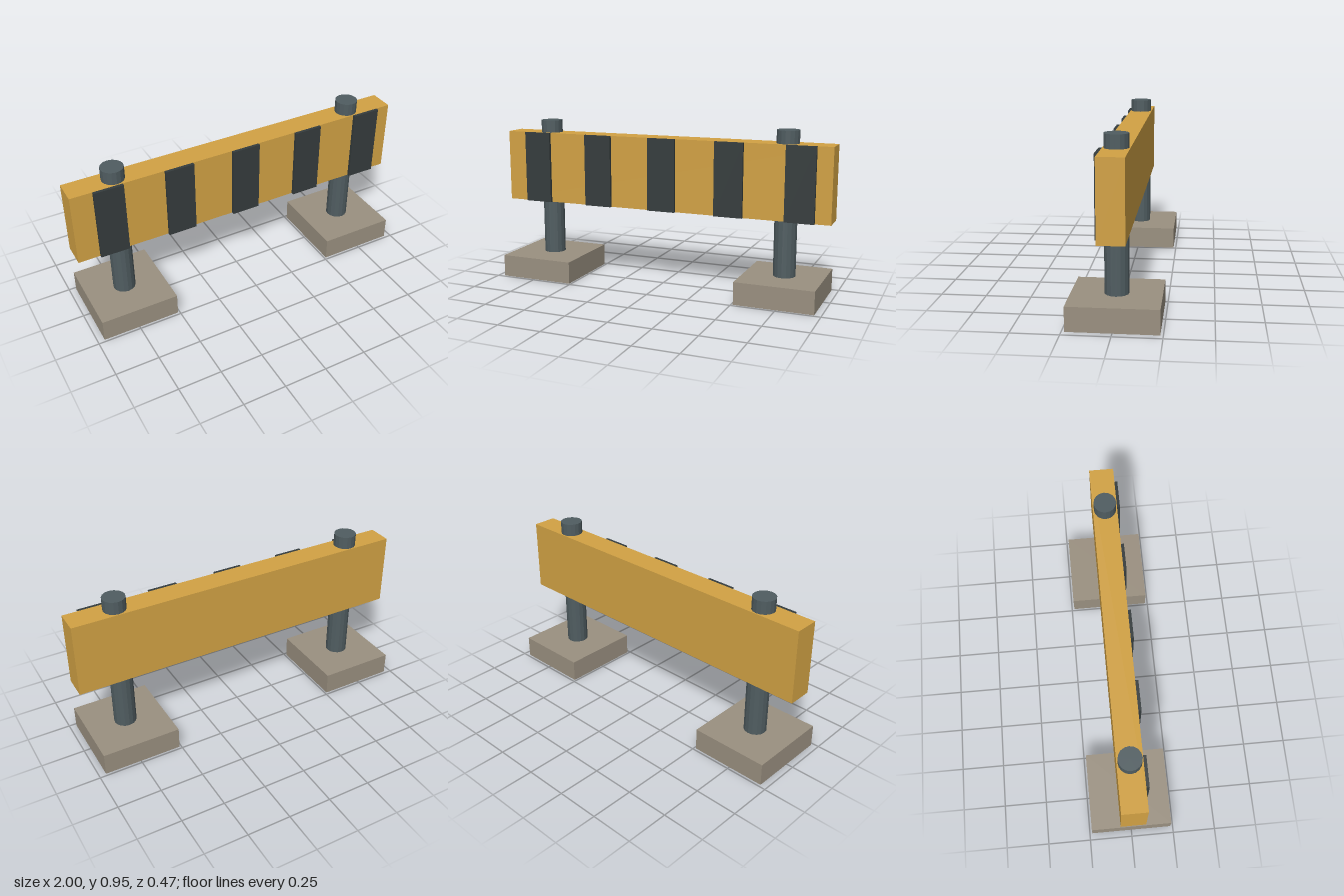
import * as THREE from 'three';

const material = (name, color) => {
  const m = new THREE.MeshStandardMaterial({ color });
  m.name = name;
  return m;
};

export function createModel() {
  const yellow = material('barrier yellow', 0xd2a244);
  const charcoal = material('stripe charcoal', 0x353c3d);
  const steel = material('post steel', 0x505d61);
  steel.flatShading = true;
  const concrete = material('base concrete', 0x9a9080);

  const model = new THREE.Group();
  model.name = 'roadBarrier';

  const add = (name, geometry, mat, x, y, z) => {
    const mesh = new THREE.Mesh(geometry, mat);
    mesh.name = name;
    mesh.position.set(x, y, z);
    model.add(mesh);
  };

  // Square foot and round post on each side
  const bottom = 0.002, top = 0.95;
  const baseGeometry = new THREE.BoxGeometry(0.45, 0.13, 0.47);
  const postGeometry = new THREE.CylinderGeometry(0.064, 0.064, top - bottom, 16);
  for (const [side, x] of [['left', 0.736], ['right', -0.736]]) {
    add(side + 'Base', baseGeometry, concrete, x, 0.065, 0);
    add(side + 'Post', postGeometry, steel, x, (top + bottom) / 2, 0);
  }

  // Wide board through which the posts pass
  const boardHeight = 0.423, boardY = 0.665;
  add('board', new THREE.BoxGeometry(2, boardHeight, 0.14), yellow, 0, boardY, 0);

  // Raised stripes on the front, slightly off centre
  const stripeGeometry = new THREE.BoxGeometry(0.167, boardHeight, 0.017);
  for (let i = 0; i < 5; i++) {
    add('stripe' + (i + 1), stripeGeometry, charcoal, 0.018 + (i - 2) * 0.405, boardY, 0.0785);
  }

  return model;
}
